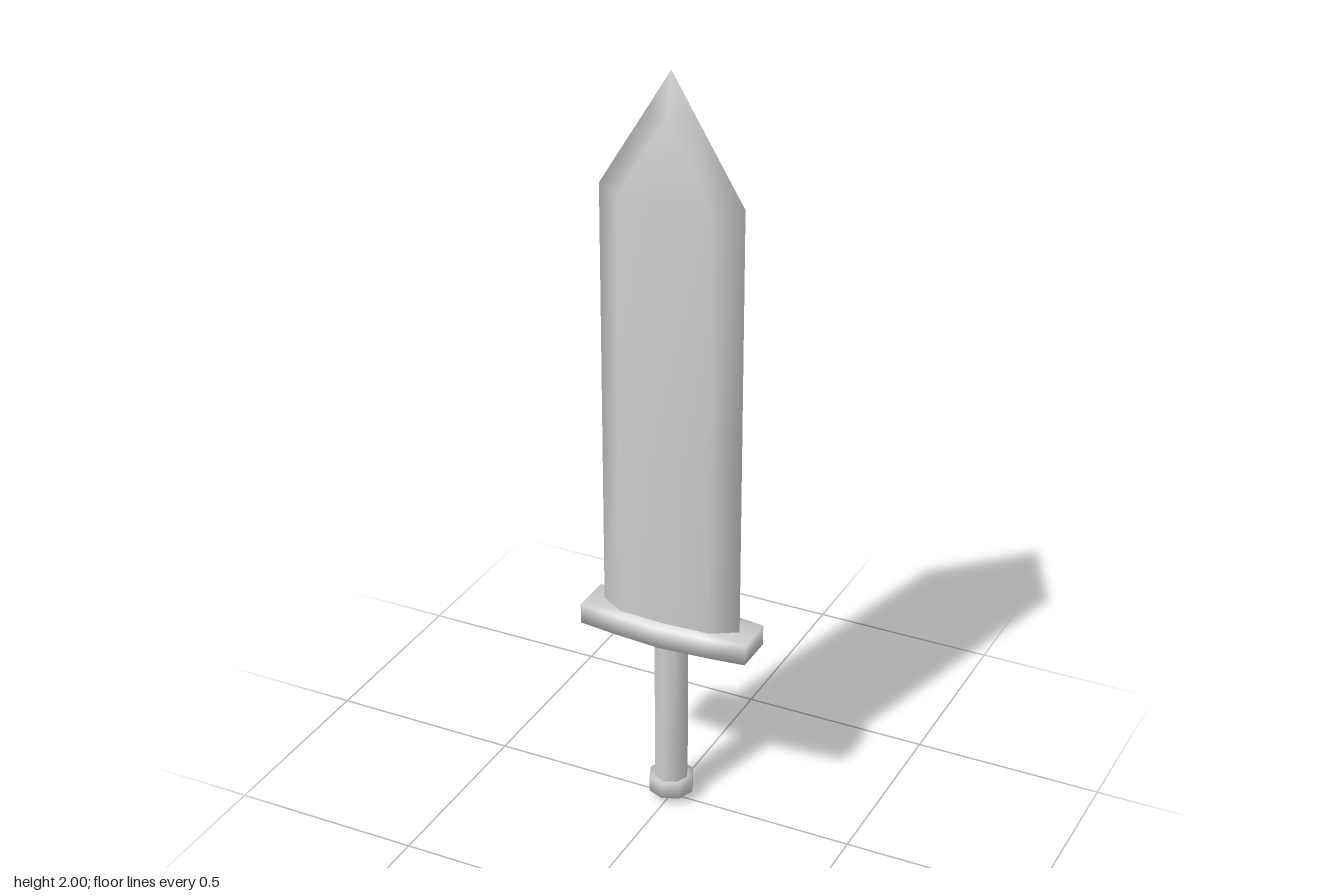
import * as THREE from 'three';
import { mergeVertices } from 'three/addons/utils/BufferGeometryUtils.js';

// Skin a stack of rings (bottom to top, each running from front to the left side) with smooth normals.
function loft(name, rings, capped) {
  const n = rings[0].length;
  const pos = rings.flat(2);
  const index = [];
  for (let r = 0; r < rings.length - 1; r++) {
    for (let i = 0; i < n; i++) {
      const a = r * n + i, b = r * n + (i + 1) % n;
      index.push(a, b, b + n, a, b + n, a + n);
    }
  }
  if (capped) {
    const low = pos.length / 3, top = (rings.length - 1) * n;
    pos.push(0, rings[0][0][1], 0, 0, rings[rings.length - 1][0][1], 0);
    for (let i = 0; i < n; i++) {
      const j = (i + 1) % n;
      index.push(low, j, i, low + 1, top + i, top + j);
    }
  }
  let geo = new THREE.BufferGeometry();
  geo.setAttribute('position', new THREE.Float32BufferAttribute(pos, 3));
  geo.setIndex(index);
  geo = mergeVertices(geo, 1e-5);
  geo.computeVertexNormals();
  const mesh = new THREE.Mesh(geo, new THREE.MeshStandardMaterial({ color: 0xcccccc }));
  mesh.name = name;
  return mesh;
}

// Mirror a quarter outline (front centre to side) into a full ring.
function mirrorRing(quarter) {
  const half = [...quarter];
  for (const [x, y, z] of [...quarter].reverse()) if (z !== 0) half.push([x, y, -z]);
  const other = half.filter(p => p[0] !== 0).reverse().map(([x, y, z]) => [-x, y, z]);
  return [...half, ...other];
}

// Regular eight-sided ring.
function roundRing(radius, y) {
  return Array.from({ length: 8 }, (_, i) => {
    const a = i * Math.PI / 4;
    return [Math.sin(a) * radius, y, Math.cos(a) * radius];
  });
}

export function createModel() {
  const group = new THREE.Group();
  group.name = 'sword';

  // Blade: flattened eight-point section, bevelled edges, pointed tip
  const section = (y, edgeY = y, t = 0.05) =>
    mirrorRing([[0, y, t], [0.124, y, t - 0.006], [0.19, edgeY, 0]]);
  const apex = mirrorRing([[0, 1.89, 0.026], [0, 1.89, 0.026], [0.067, 1.89, 0]]);
  // the merged apex points lack mirrored copies, so lay the ring out in full
  apex.length = 0;
  for (const [x, z] of [[0, 1], [0, 1], [0.067, 0], [0, -1], [0, -1], [0, -1], [-0.067, 0], [0, 1]])
    apex.push([x, 1.89, z * 0.026]);
  const tip = apex.map(() => [0, 2, 0]);
  group.add(loft('blade', [
    section(0.53, 0.53, 0.046), section(1.0), section(1.68, 1.69), apex, tip,
  ], false));

  // Guard: bar that swells toward the middle
  const bar = y => mirrorRing([[0, y, 0.077], [0.13, y, 0.067], [0.23, y, 0.055]]);
  group.add(loft('guard', [bar(0.495), bar(0.55)], true));

  // Grip
  group.add(loft('grip', [roundRing(0.045, 0.05), roundRing(0.045, 0.51)], false));

  // Pommel: short drum with a shallow pointed base
  group.add(loft('pommel', [
    roundRing(0, 0), roundRing(0.06, 0.025), roundRing(0.06, 0.068), roundRing(0.04, 0.068),
  ], true));

  return group;
}
